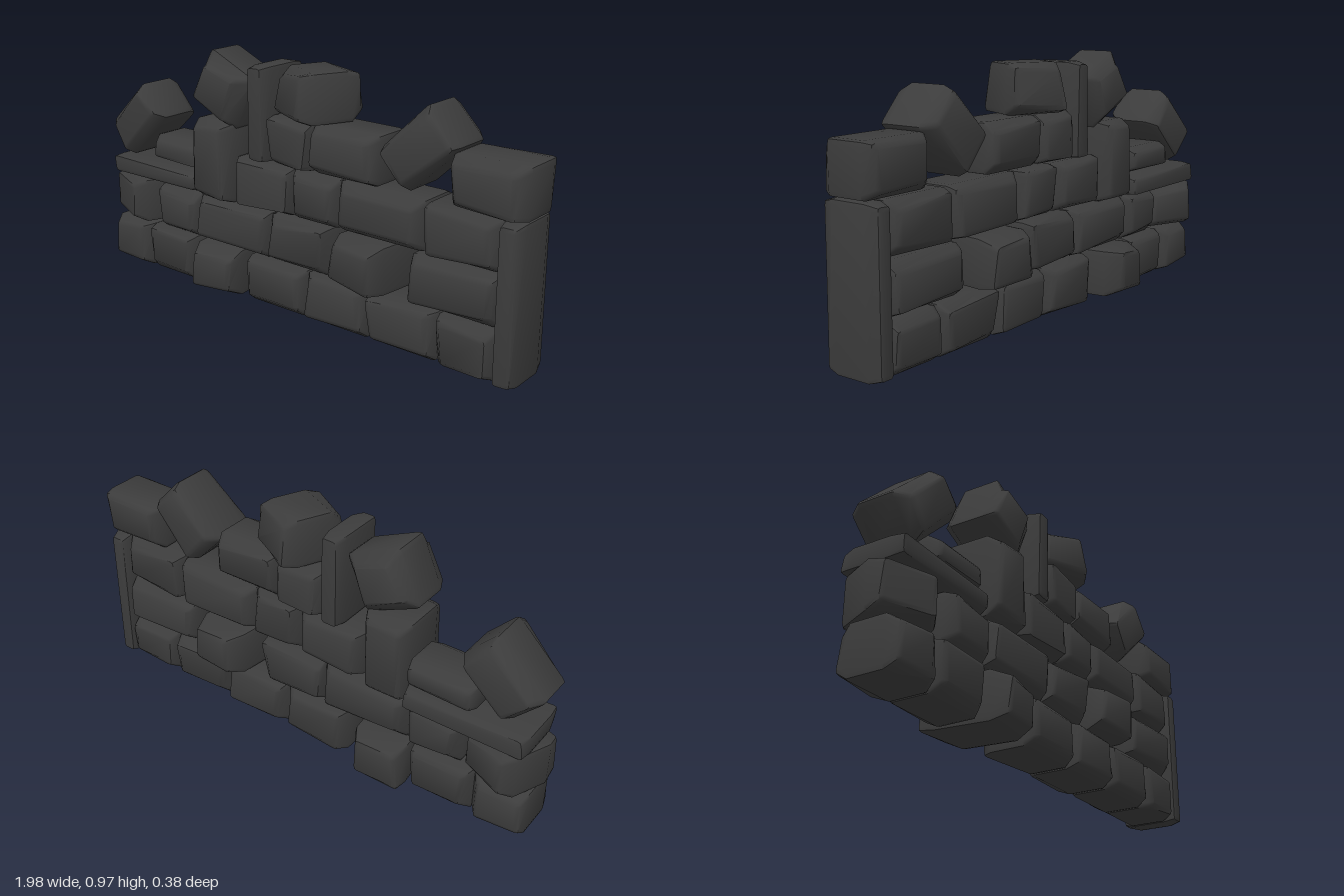
import * as THREE from 'three';
import { mergeVertices, toCreasedNormals } from 'three/addons/utils/BufferGeometryUtils.js';

let seed = 7;
const rand = () => {
  seed = (seed * 16807) % 2147483647;
  return seed / 2147483647;
};

// A rough-hewn block: full width at its middle, with the corners of its front
// and back faces knocked in unevenly. The top can taper.
function stoneGeometry(w, h, d, rough, taper) {
  const size = [w, h, d];
  const bevel = Math.min(0.02, Math.min(w, h) * 0.2);
  const chip = Math.min(0.034, Math.min(w, h) * 0.22) * rough;

  // One chip per corner: inward in x, y and z
  const chips = Array.from({ length: 8 }, () =>
    [chip * (0.15 + rand() * 0.85), chip * (0.15 + rand() * 0.85), chip * rand() * 0.55]);

  let geo = new THREE.BoxGeometry(1, 1, 1, 3, 3, 3);
  geo.deleteAttribute('uv');
  geo.deleteAttribute('normal');
  geo = mergeVertices(geo);
  const pos = geo.attributes.position;
  for (let i = 0; i < pos.count; i++) {
    const unit = [pos.getX(i), pos.getY(i), pos.getZ(i)];
    const outer = unit.map((c) => Math.abs(c) > 0.4);
    const inner = [w / 2 - bevel, h / 2 - bevel, d * 0.29];
    const p = unit.map((c, a) => Math.sign(c) * (outer[a] ? size[a] / 2 : inner[a]));

    // Slightly round the long edges
    if (outer[0] && outer[1]) {
      for (let a = 0; a < 2; a++) p[a] -= Math.sign(p[a]) * bevel * 0.2;
    }

    // Knock in the rims of the front and back faces
    if (outer[2]) {
      const t = p.map((c, a) => c / size[a] + 0.5);
      const shift = [0, 0, 0];
      chips.forEach((amounts, c) => {
        const bits = [(c >> 2) & 1, (c >> 1) & 1, c & 1];
        const weight = bits.reduce((m, b, a) => m * (b ? t[a] : 1 - t[a]), 1);
        const rim = outer[0] || outer[1];
        amounts.forEach((amount, a) => {
          if (a < 2 || rim) shift[a] += (bits[a] ? 1 : -1) * amount * weight;
        });
      });
      shift.forEach((s, a) => { p[a] -= s; });
    }

    const narrow = 1 - taper * Math.max(0, p[1] / h + 0.3);
    pos.setXYZ(i, p[0] * narrow, p[1], p[2] * narrow);
  }
  return toCreasedNormals(geo, 0.95);
}

export function createModel() {
  const wall = new THREE.Group();
  wall.name = 'ruinedStoneWall';
  const material = new THREE.MeshStandardMaterial({ color: 0x3c3c3c });

  function stone(parent, name, size, centre, { roll = 0, yaw = 0, rough = 1, taper = 0 } = {}) {
    const mesh = new THREE.Mesh(stoneGeometry(...size, rough, taper), material);
    mesh.name = name;
    mesh.position.set(...centre);
    mesh.rotation.set(0, THREE.MathUtils.degToRad(yaw), THREE.MathUtils.degToRad(roll));
    parent.add(mesh);
  }

  // Straight-laid stones: [x0, x1, y0, y1, z0, z1]
  function course(name, stones) {
    const group = new THREE.Group();
    group.name = name;
    for (const [x0, x1, y0, y1, z0 = -0.107, z1 = 0.132] of stones) {
      stone(group, name + 'Stone', [x1 - x0, y1 - y0, z1 - z0],
        [(x0 + x1) / 2, (y0 + y1) / 2, (z0 + z1) / 2]);
    }
    wall.add(group);
  }

  course('bottomCourse', [
    [-0.965, -0.748, 0, 0.19], [-0.748, -0.49, 0, 0.193], [-0.2, 0.088, 0, 0.19],
    [0.093, 0.378, 0, 0.19], [0.383, 0.672, 0, 0.19], [0.675, 0.91, 0, 0.19],
  ]);
  course('secondCourse', [
    [-0.69, -0.462, 0.197, 0.382], [-0.462, -0.088, 0.197, 0.382],
    [-0.088, 0.197, 0.197, 0.382], [0.558, 0.91, 0.197, 0.382],
  ]);
  course('thirdCourse', [
    [-0.952, -0.462, 0.383, 0.462, -0.13, 0.12], [-0.742, -0.468, 0.475, 0.577, -0.125, 0.095],
    [-0.462, -0.27, 0.383, 0.703, -0.125, 0.15], [-0.262, 0.025, 0.393, 0.578],
    [0.025, 0.243, 0.393, 0.58], [0.243, 0.608, 0.393, 0.58], [0.617, 0.908, 0.393, 0.58],
  ]);
  course('upperCourse', [
    [-0.082, 0.12, 0.585, 0.77], [0.123, 0.412, 0.585, 0.77], [0.71, 0.998, 0.585, 0.772],
  ]);

  // Upright slabs
  stone(wall, 'endSlab', [0.08, 0.58, 0.237], [0.949, 0.29, 0.0125]);
  stone(wall, 'upperSlab', [0.08, 0.365, 0.237], [-0.13, 0.765, 0.0125]);

  // Stones turned in the wall so that they stick out on both faces
  stone(wall, 'turnedBottomStone', [0.218, 0.19, 0.348], [-0.363, 0.095, 0], { yaw: 7 });
  stone(wall, 'turnedEndStone', [0.245, 0.185, 0.25], [-0.845, 0.29, -0.004], { yaw: -23 });
  stone(wall, 'turnedMiddleStone', [0.225, 0.185, 0.36], [0.365, 0.29, 0], { yaw: -7 });
  stone(wall, 'turnedCapStone', [0.24, 0.187, 0.275], [0.085, 0.8635, 0.0175],
    { yaw: -25, taper: 0.2 });

  // Tilted loose stones on the broken top edge
  stone(wall, 'looseLeftEndStone', [0.275, 0.18, 0.239], [-0.815, 0.632, 0.0125], { roll: 44 });
  stone(wall, 'looseMiddleStone', [0.235, 0.225, 0.239], [-0.327, 0.828, 0.0125],
    { roll: -24, rough: 1.5 });
  stone(wall, 'looseRightStone', [0.275, 0.185, 0.239], [0.577, 0.757, 0.0125], { roll: 44 });

  return wall;
}
